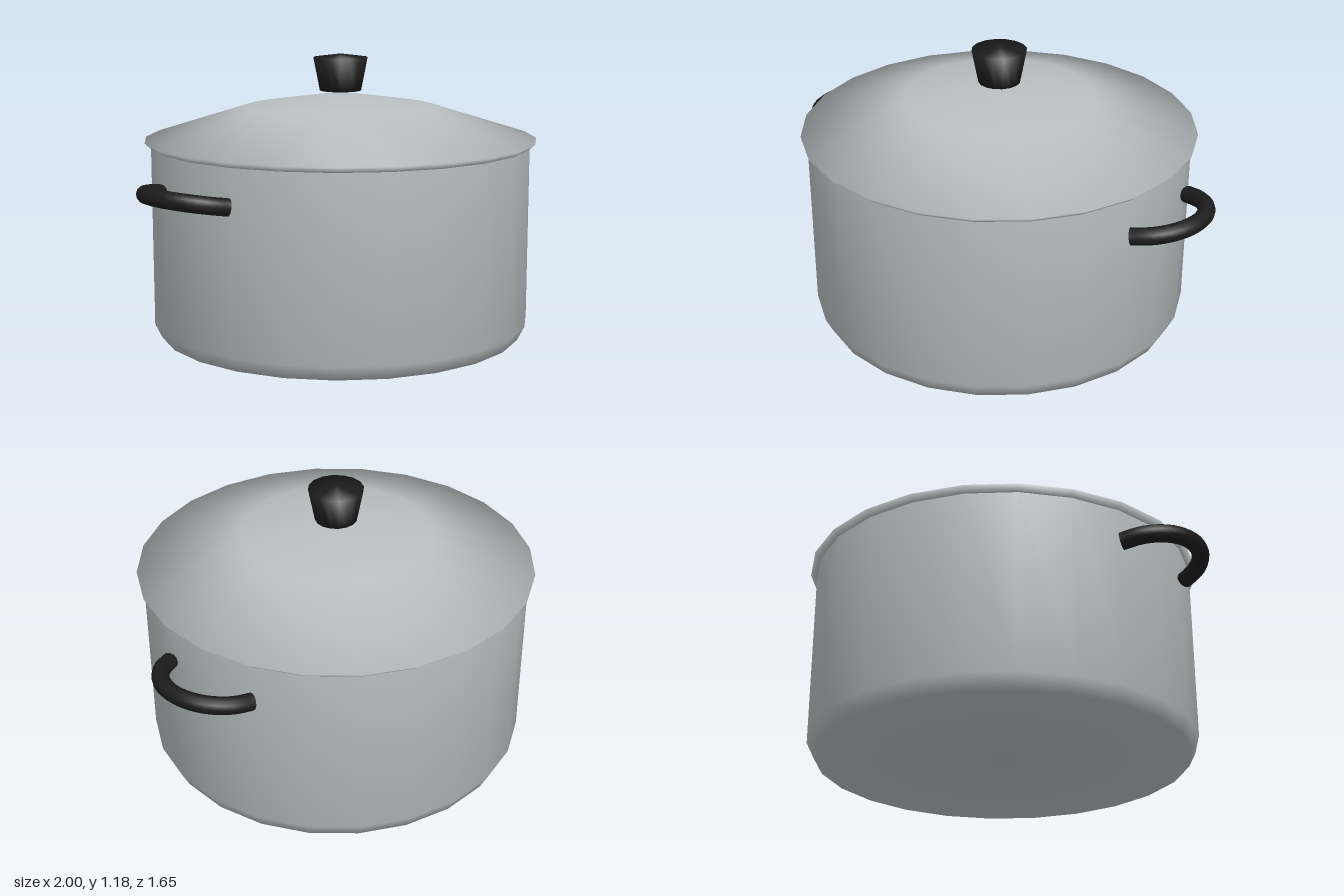
import * as THREE from 'three';

const steel = new THREE.MeshStandardMaterial({ color: 0xb9c0c1 });
steel.name = 'steel';
const black = new THREE.MeshStandardMaterial({ color: 0x1c1c1c });
black.name = 'black plastic';

// Turned part, profile given bottom to top, with evenly weighted smooth normals
function turned(name, profile, segments, material) {
  const pts = profile.map(([r, y]) => new THREE.Vector2(r, y));
  const geo = new THREE.LatheGeometry(pts, segments);
  const edge = pts.slice(1).map((p, j) =>
    new THREE.Vector2(p.y - pts[j].y, pts[j].x - p.x).normalize());
  const normals = pts.map((p, j) => {
    if (p.x === 0) return new THREE.Vector2(0, j === 0 ? -1 : 1);
    const n = new THREE.Vector2();
    if (j > 0) n.add(edge[j - 1]);
    if (j < edge.length) n.add(edge[j]);
    return n.normalize();
  });
  const attr = geo.attributes.normal;
  for (let i = 0; i <= segments; i++) {
    const a = (i / segments) * Math.PI * 2;
    normals.forEach((n, j) =>
      attr.setXYZ(i * pts.length + j, n.x * Math.sin(a), n.y, n.x * Math.cos(a)));
  }
  const mesh = new THREE.Mesh(geo, material);
  mesh.name = name;
  return mesh;
}

// Tilted bow handle on the +x side, with closed ends
function handle(name) {
  const group = new THREE.Group();
  group.name = name;
  const radius = 0.035, bow = 0.219, reach = THREE.MathUtils.degToRad(79);
  const points = [];
  for (let i = 0; i <= 8; i++) {
    const a = reach * (1 - i / 4);
    const x = 0.746 + bow * Math.cos(a);
    points.push(new THREE.Vector3(x, 0.655 + (x - 0.787) * 0.17, bow * Math.sin(a)));
  }
  const curve = new THREE.CatmullRomCurve3(points);
  const bar = new THREE.Mesh(new THREE.TubeGeometry(curve, 20, radius, 12), black);
  bar.name = 'handleBar';
  group.add(bar);
  for (const [t, sign] of [[0, -1], [1, 1]]) {
    const cap = new THREE.Mesh(new THREE.CircleGeometry(radius, 12), black);
    cap.name = 'handleEnd';
    cap.position.copy(curve.getPointAt(t));
    cap.lookAt(cap.position.clone().addScaledVector(curve.getTangentAt(t), sign));
    group.add(cap);
  }
  return group;
}

export function createModel() {
  const model = new THREE.Group();
  model.name = 'cookingPot';

  // Body with chamfered base
  model.add(turned('potBody', [[0, 0], [0.77, 0], [0.8, 0.06], [0.8, 0.81]], 24, steel));

  // Domed lid with flared rim
  model.add(turned('lid', [[0.8, 0.803], [0.826, 0.826], [0.4, 0.96], [0, 1.02]], 24, steel));

  // Knob widening upwards
  model.add(turned('lidKnob', [[0, 1.018], [0.087, 1.025], [0.114, 1.165], [0, 1.18]], 16, black));

  // Handles on both sides
  const right = handle('rightHandle');
  right.rotation.y = Math.PI;
  model.add(handle('leftHandle'), right);

  return model;
}
